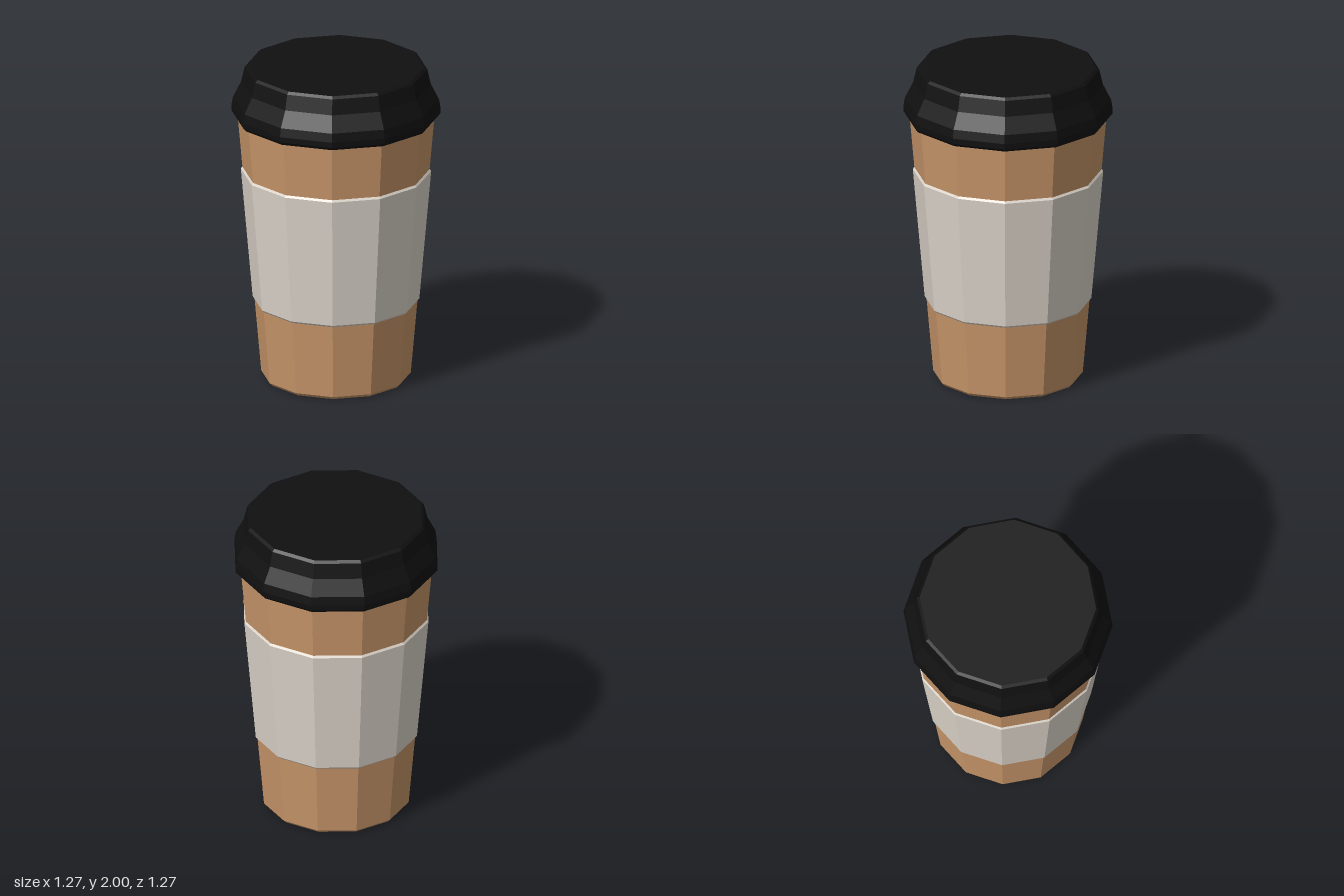
import * as THREE from 'three';

const SIDES = 12;

// Faceted turned part; profile is [radius, height] pairs running upward on the outside
function turned(name, profile, color) {
  const points = profile.map(([r, y]) => new THREE.Vector2(r, y));
  const material = new THREE.MeshStandardMaterial({ color, flatShading: true });
  const mesh = new THREE.Mesh(new THREE.LatheGeometry(points, SIDES), material);
  mesh.name = name;
  return mesh;
}

export function createModel() {
  const group = new THREE.Group();
  group.name = 'coffeeCup';

  // Tapered cup with a small bevel round its base, closed under the lid
  group.add(turned('cup', [
    [0, 0], [0.435, 0], [0.455, 0.02], [0.6, 1.69], [0, 1.69],
  ], 0xc8966a));

  // Sleeve wrapped round the middle, bevelled at both ends
  group.add(turned('sleeve', [
    [0.493, 0.485], [0.507, 0.5], [0.579, 1.325], [0.568, 1.34],
  ], 0xdcd4ca));

  // Lid with a bulging rim and a flat top
  group.add(turned('lid', [
    [0.58, 1.68], [0.617, 1.68], [0.635, 1.7], [0.636, 1.735], [0.627, 1.79],
    [0.577, 1.89], [0.555, 1.985], [0.538, 2], [0, 2],
  ], 0x101010));

  return group;
}
